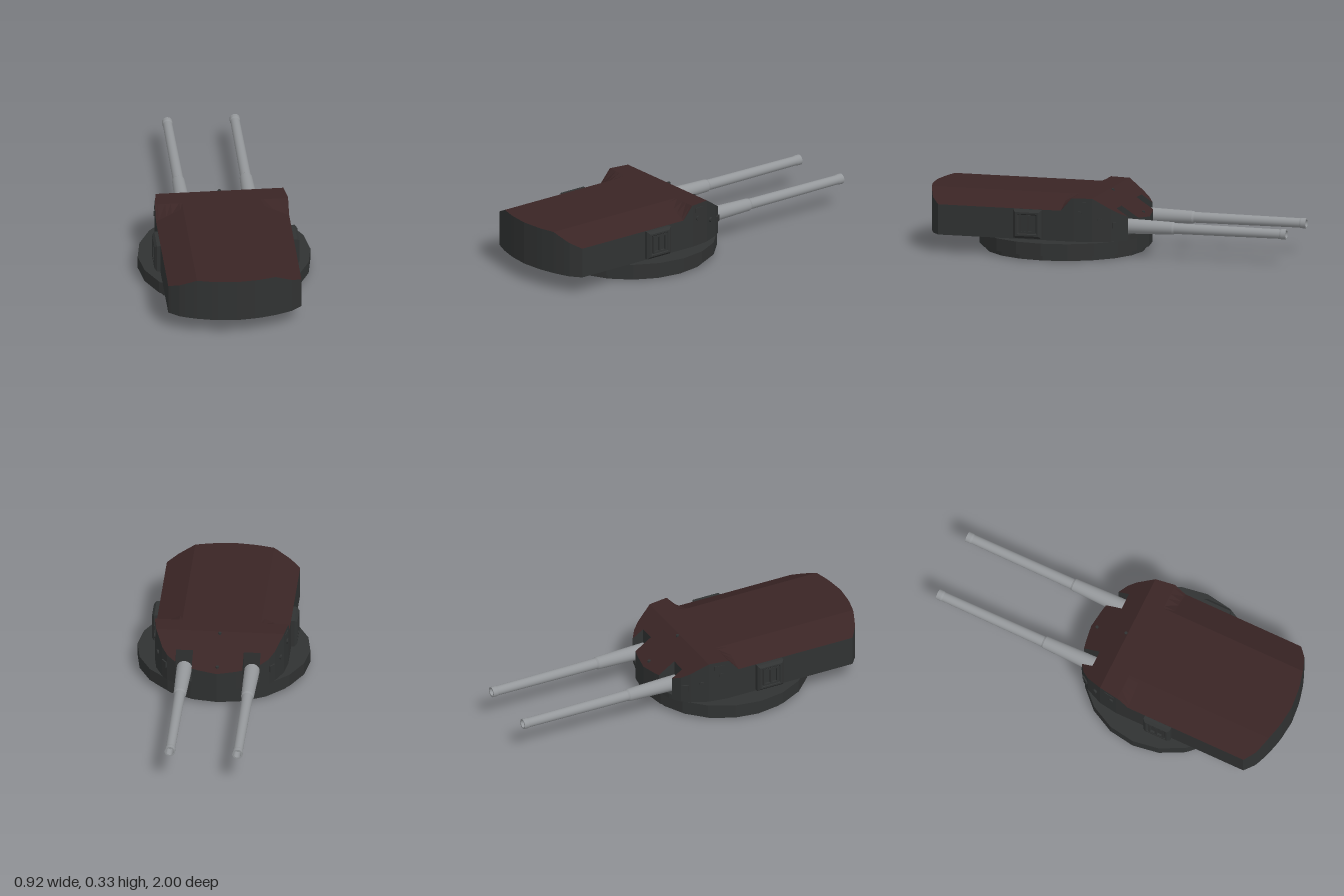
import * as THREE from 'three';

const dark = new THREE.MeshStandardMaterial({ color: 0x303232 });
dark.name = 'darkArmour';
const brown = new THREE.MeshStandardMaterial({ color: 0x3a2525 });
brown.name = 'brownRoof';
const steel = new THREE.MeshStandardMaterial({ color: 0x95989b });
steel.name = 'gunSteel';

// Half plan of the gunhouse: x, muzzle-side z, rear z
const PLAN = [
  [0, -0.185, 0.995], [0.1, -0.17, 0.985], [0.135, -0.162, 0.979], [0.21, -0.14, 0.96],
  [0.225, -0.132, 0.955], [0.27, -0.1, 0.938], [0.3, -0.06, 0.925], [0.34, 0.03, 0.893], [0.355, 0.13, 0.88],
];
const ROWS = [0.03, 0.14, 0.2];
const FLOOR = 0.097, SLOT_FLOOR = 0.125, SLOT_END = -0.07, SLOT_IN = 0.135, SLOT_OUT = 0.225;

// Roof height: sloping glacis, then a crown with chamfered shoulders
function roofY(x, z) {
  if (z < 0.03) return 0.33 + (z - 0.03) * 0.65;
  const shoulder = Math.max(0, (x - 0.21) / 0.145) * 0.07;
  return 0.33 - shoulder * THREE.MathUtils.clamp((z - 0.14) / 0.06, 0, 1);
}

function mesh(name, geometry, material, parent, x = 0, y = 0, z = 0) {
  const m = new THREE.Mesh(geometry, material);
  m.name = name;
  m.position.set(x, y, z);
  parent.add(m);
  return m;
}

// Adds a four-cornered face and its mirror image
function quad(list, a, b, c, d) {
  const flip = (p) => [-p[0], p[1], p[2]];
  list.push(...a, ...b, ...c, ...a, ...c, ...d);
  list.push(...flip(a), ...flip(c), ...flip(b), ...flip(a), ...flip(d), ...flip(c));
}

function faces(list) {
  const g = new THREE.BufferGeometry();
  g.setAttribute('position', new THREE.Float32BufferAttribute(list, 3));
  g.computeVertexNormals();
  return g;
}

function buildGunhouse(parent) {
  const roof = [], hull = [];
  const top = (x, z) => [x, roofY(x, z), z];
  for (let i = 0; i < PLAN.length - 1; i++) {
    const [xa, fa, ba] = PLAN[i], [xb, fb, bb] = PLAN[i + 1];
    const slot = xa >= SLOT_IN && xb <= SLOT_OUT;
    const sa = slot ? SLOT_END : fa, sb = slot ? SLOT_END : fb;
    const za = [sa, ...ROWS.map((r) => Math.max(r, sa)), ba];
    const zb = [sb, ...ROWS.map((r) => Math.max(r, sb)), bb];
    for (let k = 0; k < za.length - 1; k++) {
      quad(roof, top(xa, za[k]), top(xa, za[k + 1]), top(xb, zb[k + 1]), top(xb, zb[k]));
    }
    // end walls and underside
    quad(hull, [xa, FLOOR, ba], [xb, FLOOR, bb], top(xb, bb), top(xa, ba));
    const ta = slot ? [xa, SLOT_FLOOR, fa] : top(xa, fa);
    const tb = slot ? [xb, SLOT_FLOOR, fb] : top(xb, fb);
    quad(hull, [xa, FLOOR, fa], ta, tb, [xb, FLOOR, fb]);
    quad(hull, [xa, FLOOR, fa], [xb, FLOOR, fb], [xb, FLOOR, bb], [xa, FLOOR, ba]);
    if (slot) {
      // gun port floor and back
      quad(hull, ta, [xa, SLOT_FLOOR, sa], [xb, SLOT_FLOOR, sb], tb);
      quad(hull, [xa, SLOT_FLOOR, sa], top(xa, sa), top(xb, sb), [xb, SLOT_FLOOR, sb]);
    }
    // gun port cheeks
    if (xa === SLOT_IN) quad(hull, [xa, SLOT_FLOOR, fa], top(xa, fa), top(xa, sa), [xa, SLOT_FLOOR, sa]);
    if (xb === SLOT_OUT) quad(hull, [xb, SLOT_FLOOR, fb], [xb, SLOT_FLOOR, sb], top(xb, sb), top(xb, fb));
  }
  // long side walls
  const [x, f, b] = PLAN[PLAN.length - 1];
  const zs = [f, 0.14, 0.2, b];
  for (let k = 0; k < 3; k++) {
    quad(hull, [x, FLOOR, zs[k]], top(x, zs[k]), top(x, zs[k + 1]), [x, FLOOR, zs[k + 1]]);
  }
  mesh('gunhouseWalls', faces(hull), dark, parent);
  mesh('gunhouseRoof', faces(roof), brown, parent);
}

// Gun tube: stepped sleeve, slim barrel, muzzle swell and hollow bore
function buildGun(parent, side) {
  const profile = [
    [0, 0.065], [0.03, 0.07], [0.041, 0.085], [0.04, 0.14], [0.034, 0.365], [0.034, 0.37], [0.029, 0.38],
    [0.0255, 0.965], [0.028, 0.975], [0.028, 1], [0.02, 1], [0.019, 0.94], [0, 0.94],
  ];
  // repeated points keep the steps crisp
  const pts = profile.flatMap(([r, l]) => [new THREE.Vector2(r, l), new THREE.Vector2(r, l + 0.00001)]);
  const g = new THREE.LatheGeometry(pts, 20).rotateX(-Math.PI / 2);
  mesh(side > 0 ? 'leftGun' : 'rightGun', g, steel, parent, side * 0.18, 0.165, 0);
}

function rect(target, w, h) {
  target.moveTo(-w / 2, -h / 2);
  target.lineTo(w / 2, -h / 2);
  target.lineTo(w / 2, h / 2);
  target.lineTo(-w / 2, h / 2);
  target.closePath();
  return target;
}

// Raised side locker with a framed recess and slats
function buildLocker(parent, side) {
  const g = new THREE.Group();
  g.name = side > 0 ? 'leftLocker' : 'rightLocker';
  g.position.set(side * 0.352, 0.182, 0.38);
  g.rotation.y = side * Math.PI / 2;
  parent.add(g);
  const shape = rect(new THREE.Shape(), 0.13, 0.128);
  shape.holes.push(rect(new THREE.Path(), 0.112, 0.11));
  mesh('lockerFrame', new THREE.ExtrudeGeometry(shape, {
    depth: 0.022, bevelEnabled: true, bevelThickness: 0.013, bevelSize: 0.013, bevelSegments: 1,
  }), dark, g);
  mesh('lockerDoor', new THREE.BoxGeometry(0.12, 0.12, 0.02), dark, g, 0, 0, 0.012);
  for (const x of [-0.04, 0, 0.04]) mesh('lockerSlat', new THREE.BoxGeometry(0.012, 0.1, 0.014), dark, g, x, 0, 0.027);
  for (const y of [-0.045, 0.045]) mesh('lockerRail', new THREE.BoxGeometry(0.09, 0.01, 0.014), dark, g, 0, y, 0.027);
}

// Small sights and ports on the forward cheeks
function buildFittings(parent, side) {
  const hood = mesh('sightHood', new THREE.BoxGeometry(0.02, 0.025, 0.055), dark, parent, side * 0.342, 0.296, 0.09);
  hood.rotation.y = side * 0.15;
  const disc = new THREE.CylinderGeometry(0.013, 0.013, 0.016, 10).rotateZ(Math.PI / 2);
  mesh('sidePort', disc, dark, parent, side * 0.35, 0.25, 0.1).rotation.y = side * 0.15;
  mesh('sidePort', disc, dark, parent, side * 0.327, 0.21, -0.005).rotation.y = side * 0.42;
  const box = mesh('rangeBox', new THREE.BoxGeometry(0.014, 0.034, 0.038), dark, parent, side * 0.285, 0.185, -0.082);
  box.rotation.y = side * 0.64;
}

export function createModel() {
  const model = new THREE.Group();
  model.name = 'gunTurret';

  // turntable
  mesh('baseRing', new THREE.CylinderGeometry(0.428, 0.428, 0.03, 20), dark, model, 0, 0.015, 0.28).material.flatShading = true;
  mesh('turntable', new THREE.CylinderGeometry(0.46, 0.46, 0.067, 20), dark, model, 0, 0.0625, 0.28);

  buildGunhouse(model);
  for (const side of [-1, 1]) {
    buildGun(model, side);
    buildLocker(model, side);
    buildFittings(model, side);
  }

  // roof studs
  for (const z of [0.02, -0.15]) {
    mesh('roofStud', new THREE.CylinderGeometry(0.009, 0.009, 0.012, 8), dark, model, 0, roofY(0, z), z);
  }
  return model;
}
